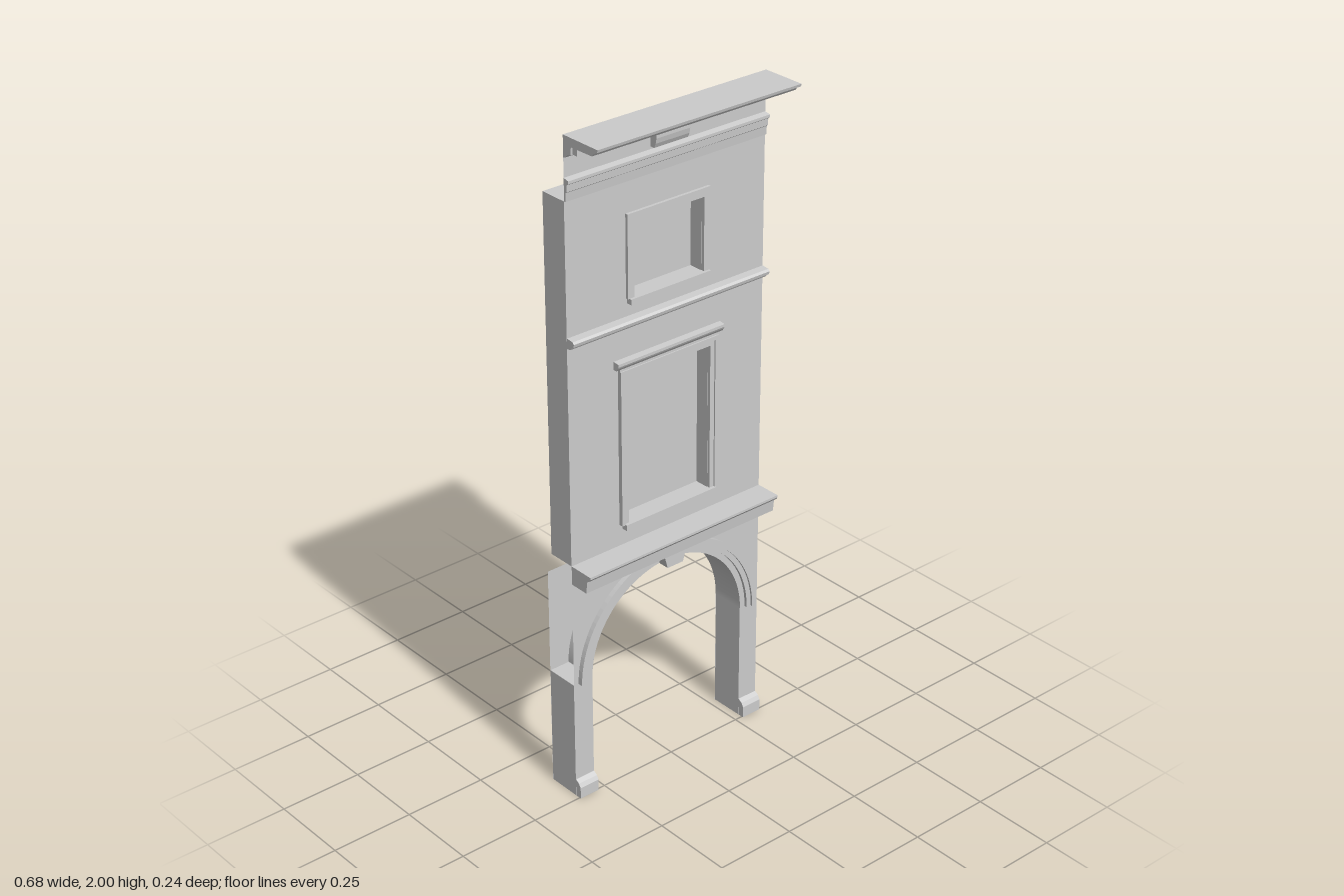
import * as THREE from 'three';

const W = 0.34;        // half width of the bay
const FACE = -0.015;   // plane of the facade
const SPRING = 0.37, R = 0.275;

export function createModel() {
  const model = new THREE.Group();
  const mat = new THREE.MeshStandardMaterial({ color: 0xcccccc });
  const thin = new THREE.MeshStandardMaterial({ color: 0xcccccc, side: THREE.DoubleSide });

  const add = (name, geo, material = mat, parent = model) => {
    const mesh = new THREE.Mesh(geo, material);
    mesh.name = name;
    parent.add(mesh);
    return mesh;
  };
  const box = (name, x0, x1, y0, y1, z0, z1, parent) => {
    const g = new THREE.BoxGeometry(x1 - x0, y1 - y0, z1 - z0);
    g.translate((x0 + x1) / 2, (y0 + y1) / 2, (z0 + z1) / 2);
    return add(name, g, mat, parent);
  };
  const poly = (pts) => new THREE.Shape(pts.map(([x, y]) => new THREE.Vector2(x, y)));
  const rect = (w, y0, y1) => poly([[-w, y0], [w, y0], [w, y1], [-w, y1]]);
  const extrude = (shape, z0, z1) => new THREE.ExtrudeGeometry(shape,
    { depth: z1 - z0, bevelEnabled: false, curveSegments: 24 }).translate(0, 0, z0);
  // Moulding: a [z, y] profile swept along x
  const moulding = (name, pts, x0 = -W, x1 = W) =>
    add(name, extrude(poly(pts), -x1, -x0).rotateY(-Math.PI / 2));
  // Wall outline standing on two legs with a round arch between them
  const archedWall = (top) => {
    const s = new THREE.Shape();
    s.moveTo(-W, 0);
    s.lineTo(-R, 0);
    s.lineTo(-R, SPRING);
    s.absarc(0, SPRING, R, Math.PI, 0, true);
    s.lineTo(R, 0);
    s.lineTo(W, 0);
    s.lineTo(W, top);
    s.lineTo(-W, top);
    s.closePath();
    return s;
  };
  const windows = [
    { name: 'lowerWindow', w: 0.145, y0: 0.82, y1: 1.262 },
    { name: 'upperWindow', w: 0.12, y0: 1.49, y1: 1.705 },
  ];
  const cutWindows = (shape) => {
    for (const o of windows) shape.holes.push(rect(o.w, o.y0, o.y1));
    return shape;
  };

  // Thin facade sheet, thick upper wall, thin back sheet of the arcade
  add('facadePanel', new THREE.ShapeGeometry(cutWindows(archedWall(2)), 24).translate(0, 0, FACE), thin);
  add('upperWall', extrude(cutWindows(rect(W, 0.755, 1.82)), -0.102, FACE - 0.001));
  add('arcadeBackPanel', new THREE.ShapeGeometry(archedWall(0.69), 24).translate(0, 0, -0.12), thin);

  // Arch soffit
  const depth = FACE + 0.12;
  add('archSoffit', new THREE.CylinderGeometry(R, R, depth, 40, 1, true, Math.PI / 2, Math.PI)
    .rotateX(Math.PI / 2).translate(0, SPRING, FACE - depth / 2), thin);

  // Piers and their plinths
  for (const s of [-1, 1]) {
    const a = s < 0 ? -W : R, b = s < 0 ? -R : W;
    box('pier', a, b, 0, SPRING, -0.119, FACE - 0.001);
    moulding('plinth', [[FACE, 0], [0.005, 0], [0.005, 0.035], [-0.002, 0.047], [FACE, 0.055]], a, b);
  }

  // Stepped arch moulding and keystone
  const ring = (r0, r1, z) => {
    const s = new THREE.Shape();
    s.absarc(0, SPRING, r1, 0, Math.PI, false);
    s.absarc(0, SPRING, r0, Math.PI, 0, true);
    s.closePath();
    return extrude(s, FACE, z);
  };
  add('archMoulding', ring(0.293, 0.324, -0.006));
  add('archMouldingRim', ring(0.309, 0.324, 0));
  add('keystone', extrude(poly([[-0.028, 0.641], [0.028, 0.641], [0.043, 0.695], [-0.043, 0.695]]), -0.02, 0.018));

  // Horizontal mouldings
  moulding('beltCornice', [[FACE, 0.698], [0.046, 0.698], [0.05, 0.735], [0.058, 0.74], [0.064, 0.748],
    [0.064, 0.755], [FACE, 0.755]]);
  moulding('stringCourse', [[FACE, 1.408], [-0.002, 1.41], [0.003, 1.418], [0.011, 1.421], [0.013, 1.43],
    [0.008, 1.436], [FACE, 1.438]]);
  moulding('architrave', [[FACE, 1.82], [-0.01, 1.82], [-0.008, 1.845], [-0.004, 1.848], [-0.003, 1.868],
    [0.003, 1.872], [0.003, 1.88], [FACE, 1.884]]);
  moulding('topCornice', [[FACE, 1.938], [-0.005, 1.942], [0.002, 1.95], [0.014, 1.953], [0.016, 1.975],
    [0.098, 1.977], [0.104, 1.985], [0.118, 1.992], [0.12, 2], [FACE, 2]]);
  const dentils = new THREE.Group();
  dentils.name = 'dentils';
  model.add(dentils);
  const n = 24, pitch = 2 * W / n;
  for (let i = 0; i < n; i++) {
    const x = -W + pitch * (i + 0.5);
    box('dentil', x - 0.008, x + 0.008, 1.954, 1.975, 0.01, 0.033, dentils);
  }
  moulding('friezeBlock', [[FACE, 1.892], [0, 1.892], [0.006, 1.905], [0.009, 1.92], [0.009, 1.932], [FACE, 1.932]],
    -0.057, 0.057);

  // Window panes set mid-wall, with frames around the openings
  for (const o of windows) {
    add(o.name + 'Pane', new THREE.PlaneGeometry(2 * o.w, o.y1 - o.y0)
      .translate(0, (o.y0 + o.y1) / 2, -0.06), thin);
  }
  const frame = (name, w, y0, y1, iw, iy1, z) => add(name, extrude(poly([
    [-w, y0], [-iw, y0], [-iw, iy1], [iw, iy1], [iw, y0], [w, y0], [w, y1], [-w, y1]]), FACE, z));
  frame('lowerWindowFrame', 0.172, 0.82, 1.3, 0.145, 1.262, -0.006);
  frame('lowerWindowFrameRim', 0.172, 0.82, 1.288, 0.16, 1.276, -0.002);
  moulding('lowerWindowHood', [[FACE, 1.296], [-0.004, 1.296], [0.002, 1.304], [0.005, 1.31], [0.005, 1.318],
    [FACE, 1.32]], -0.186, 0.186);
  box('lowerWindowSill', -0.162, 0.162, 0.805, 0.822, FACE, 0.004);
  frame('upperWindowFrame', 0.142, 1.49, 1.73, 0.12, 1.705, -0.006);
  box('upperWindowSill', -0.138, 0.138, 1.475, 1.491, FACE, 0.002);

  return model;
}
